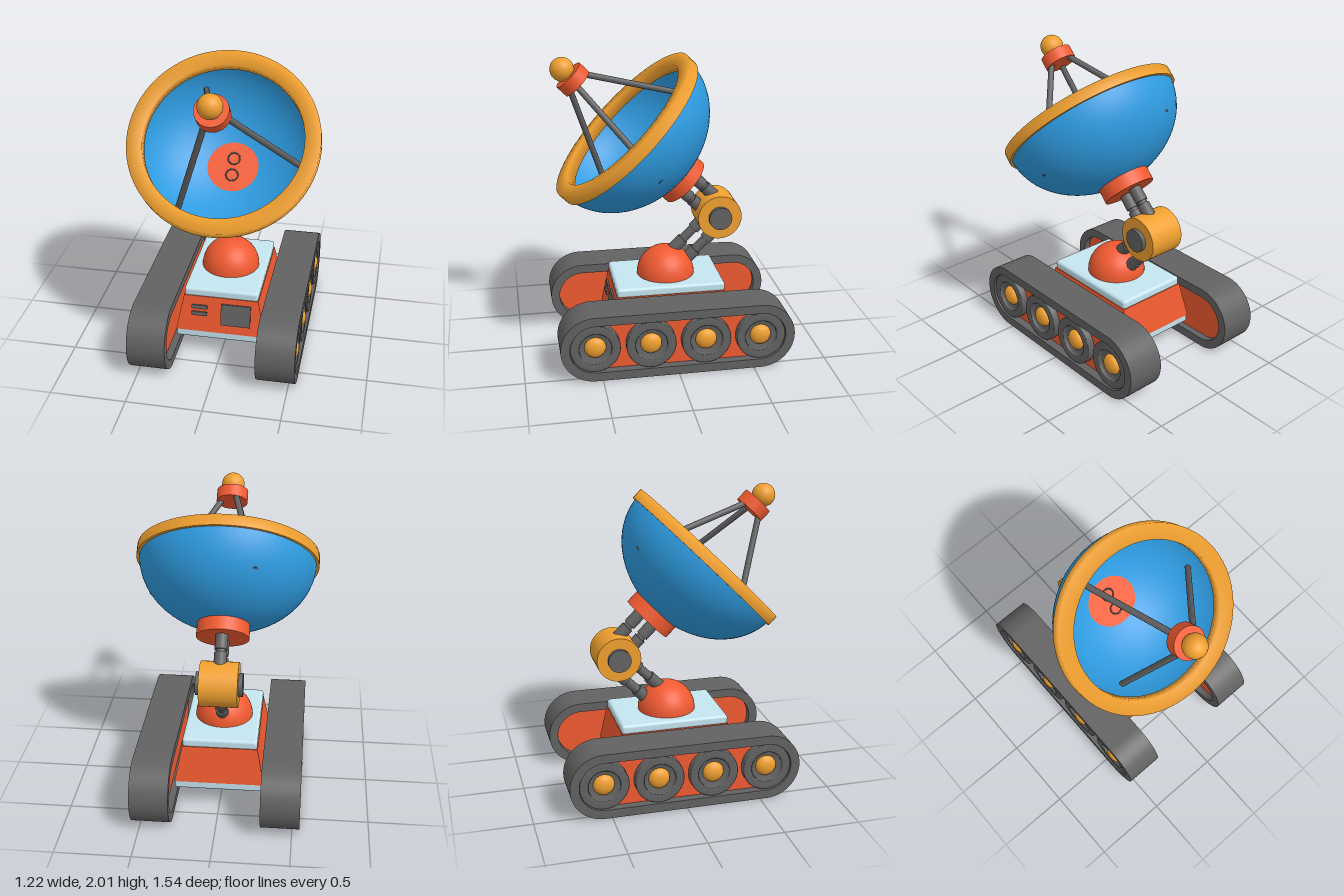
import * as THREE from 'three';
import { RoundedBoxGeometry } from 'three/addons/geometries/RoundedBoxGeometry.js';

const mat = (color, side = THREE.FrontSide) => new THREE.MeshStandardMaterial({ color, side });
const ORANGE = mat(0xf05a30), GOLD = mat(0xf0a030), GREY = mat(0x626262), PALE = mat(0xc5e5f0);
const BLUE = mat(0x2e9be0, THREE.DoubleSide);
const V = (x, y) => new THREE.Vector2(x, y);

function add(parent, name, geometry, material, x = 0, y = 0, z = 0) {
  const mesh = new THREE.Mesh(geometry, material);
  mesh.name = name;
  mesh.position.set(x, y, z);
  parent.add(mesh);
  return mesh;
}

function group(parent, name, x = 0, y = 0, z = 0) {
  const g = new THREE.Group();
  g.name = name;
  g.position.set(x, y, z);
  parent.add(g);
  return g;
}

const cyl = (r, h, seg = 40) => new THREE.CylinderGeometry(r, r, h, seg);
const cylX = (r, h) => cyl(r, h).rotateZ(-Math.PI / 2);

// Cylinder between two points
function rod(parent, name, a, b, r, material) {
  const dir = b.clone().sub(a);
  const mesh = add(parent, name, cyl(r, dir.length(), 20), material);
  mesh.position.copy(a).add(b).multiplyScalar(0.5);
  mesh.quaternion.setFromUnitVectors(new THREE.Vector3(0, 1, 0), dir.normalize());
}

// Long outline with round ends
function stadium(r, half, Kind = THREE.Shape) {
  const s = new Kind();
  s.absarc(half, 0, r, -Math.PI / 2, Math.PI / 2, false);
  s.absarc(-half, 0, r, Math.PI / 2, Math.PI * 1.5, false);
  s.closePath();
  return s;
}
const extrudeX = (shape, depth) =>
  new THREE.ExtrudeGeometry(shape, { depth, bevelEnabled: false, curveSegments: 24 })
    .translate(0, 0, -depth / 2).rotateY(Math.PI / 2);

// Crawler track, wheels facing +x
function makeTrack(parent, name, side) {
  const track = group(parent, name, side * 0.422, 0.225, 0);
  if (side < 0) track.rotation.y = Math.PI;
  const belt = stadium(0.225, 0.545);
  belt.holes.push(stadium(0.165, 0.545, THREE.Path));
  add(track, 'belt', extrudeX(belt, 0.255), GREY);
  add(track, 'sidePlate', extrudeX(stadium(0.168, 0.545), 0.15), ORANGE, -0.005);
  // Stepped wheel profile with a raised tyre and sunken middle
  const wheel = new THREE.LatheGeometry(
    [V(0.163, 0), V(0.163, 0.045), V(0.158, 0.05), V(0.11, 0.05), V(0.105, 0.045), V(0.105, 0.02), V(0.001, 0.02)], 40)
    .rotateZ(-Math.PI / 2);
  for (let i = 0; i < 4; i++) {
    const z = -0.545 + i * 0.3633;
    add(track, 'wheel', wheel, GREY, 0.068, 0, z);
    add(track, 'hub', new THREE.SphereGeometry(0.07, 24, 16).scale(0.6, 1, 1), GOLD, 0.088, 0, z);
  }
}

function makeBody(parent) {
  const body = group(parent, 'body');
  add(body, 'lowerBand', new RoundedBoxGeometry(0.6, 0.065, 0.81, 3, 0.015), PALE, 0, 0.162, 0);
  // Hull tapers towards the top
  const hull = new THREE.BoxGeometry(0.6, 0.25, 0.82);
  const p = hull.attributes.position;
  for (let i = 0; i < p.count; i++)
    if (p.getY(i) > 0) p.setXYZ(i, p.getX(i) * 0.84, p.getY(i), p.getZ(i) * 0.89);
  hull.computeVertexNormals();
  add(body, 'hull', hull, ORANGE, 0, 0.31, 0);
  add(body, 'upperBand', new RoundedBoxGeometry(0.5, 0.065, 0.73, 3, 0.02), PALE, 0, 0.46, 0);
  add(body, 'dome', new THREE.SphereGeometry(0.195, 40, 20, 0, Math.PI * 2, 0, Math.PI / 2), ORANGE, 0, 0.492, 0);
  // Hatch and vents on the sloping front
  const front = group(body, 'frontDetails', 0, 0.31, 0.39);
  front.rotation.x = -0.178;
  add(front, 'hatch', new THREE.BoxGeometry(0.2, 0.15, 0.02), GREY, 0.103, 0.012, 0);
  for (const y of [0.005, 0.053])
    add(front, 'vent', new THREE.BoxGeometry(0.105, 0.026, 0.02), GREY, -0.143, y, 0);
}

// Pair of rods with sleeves, running along local +y
function makeArm(parent, name, angle, shift, length) {
  const arm = group(parent, name);
  arm.rotation.x = angle;
  for (const s of [-1, 1]) {
    const z = shift + s * 0.06;
    add(arm, 'armRod', cyl(0.032, length, 24), GREY, 0, length / 2, z);
    add(arm, 'innerSleeve', cyl(0.042, 0.1, 24), GREY, 0, 0.14, z);
    add(arm, 'outerSleeve', cyl(0.042, 0.1, 24), GREY, 0, length - 0.08, z);
  }
}

function makeDish(parent) {
  // Local +y is the dish axis, tilted up and forward
  const dish = group(parent, 'dish', 0, 1.53, 0.262);
  dish.rotation.x = Math.PI / 4;
  const bowl = [];
  for (let i = 0; i <= 24; i++) {
    const a = (i / 24) * Math.PI / 2;
    bowl.push(V(Math.max(0.595 * Math.sin(a), 0.0005), -0.487 * Math.cos(a)));
  }
  add(dish, 'bowl', new THREE.LatheGeometry(bowl, 64), BLUE);
  const rim = [V(0.612, -0.037), V(0.612, 0.037), V(0.51, 0.037), V(0.51, -0.037), V(0.612, -0.037)];
  add(dish, 'rim', new THREE.LatheGeometry(rim, 64), GOLD);
  add(dish, 'mount', cyl(0.175, 0.092, 48), ORANGE, 0, -0.512, 0);
  for (const z of [-0.058, 0.058])
    add(dish, 'mountRing', new THREE.TorusGeometry(0.04, 0.005, 8, 32).rotateX(Math.PI / 2), GREY, 0, -0.465, z);

  // Receiver on three struts
  for (let i = 0; i < 3; i++) {
    const a = (95 + i * 120) * Math.PI / 180;
    const at = (r, y) => new THREE.Vector3(r * Math.sin(a), y, -r * Math.cos(a));
    rod(dish, 'strut', at(0.065, 0.45), at(0.5, -0.26), 0.02, GREY);
  }
  add(dish, 'receiver', cyl(0.106, 0.082), ORANGE, 0, 0.467, 0);
  add(dish, 'receiverBall', new THREE.SphereGeometry(0.077, 32, 20), GOLD, 0, 0.563, 0);
}

export function createModel() {
  const model = new THREE.Group();
  model.name = 'dishRover';
  makeTrack(model, 'leftTrack', 1);
  makeTrack(model, 'rightTrack', -1);
  makeBody(model);

  // Elbow joint with both arm halves
  const elbow = group(model, 'elbow', 0, 0.91, -0.35);
  add(elbow, 'elbowDrum', cylX(0.148, 0.25), GOLD);
  add(elbow, 'elbowPin', cylX(0.077, 0.305), GREY);
  makeArm(elbow, 'lowerArm', Math.PI * 0.75, 0.028, 0.42);
  makeArm(elbow, 'upperArm', Math.PI / 4, -0.01, 0.34);

  makeDish(model);
  return model;
}
